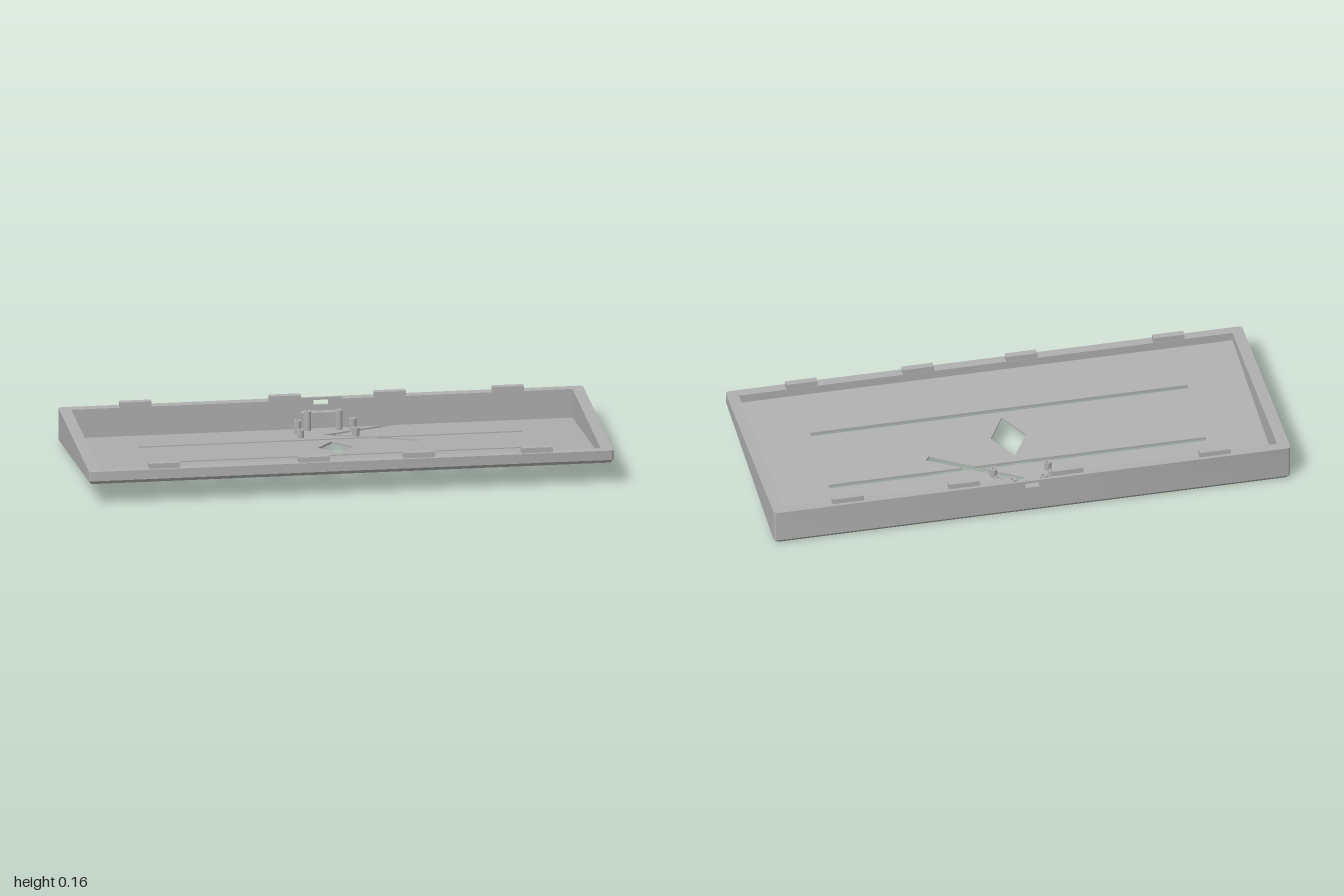
import * as THREE from 'three';
import { toCreasedNormals } from 'three/addons/utils/BufferGeometryUtils.js';

const TOP = 0.137, SKIN = 0.012, FLOOR = 0.02;
const under = (z) => 0.105 * (z + 0.42); // sloping underside

export function createModel() {
  const model = new THREE.Group();
  const grey = new THREE.MeshStandardMaterial({ color: 0xb0b0b0 });
  grey.name = 'grey plastic';

  const add = (name, geo, x = 0, y = 0, z = 0) => {
    const mesh = new THREE.Mesh(geo, grey);
    mesh.name = name;
    mesh.position.set(x, y, z);
    model.add(mesh);
    return mesh;
  };

  // Outlines are given as (x, z) in plan
  const trace = (path, pts) => {
    pts.forEach(([x, z], i) => (i ? path.lineTo(x, -z) : path.moveTo(x, -z)));
    path.closePath();
    return path;
  };
  const rect = (path, w, d, r) => {
    path.moveTo(-w + r, -d);
    path.lineTo(w - r, -d); path.quadraticCurveTo(w, -d, w, -d + r);
    path.lineTo(w, d - r); path.quadraticCurveTo(w, d, w - r, d);
    path.lineTo(-w + r, d); path.quadraticCurveTo(-w, d, -w, d - r);
    path.lineTo(-w, -d + r); path.quadraticCurveTo(-w, -d, -w + r, -d);
    return path;
  };

  // Plan outline raised between two height rules, with optional lower chamfer
  const slab = (shape, low, high, chamfer = 0) => {
    const geo = new THREE.ExtrudeGeometry(shape, { depth: 1, bevelEnabled: false, curveSegments: 6 });
    geo.rotateX(-Math.PI / 2);
    const p = geo.attributes.position;
    for (let i = 0; i < p.count; i++) {
      let x = p.getX(i), z = p.getZ(i);
      const upper = p.getY(i) > 0.5;
      if (!upper && chamfer) {
        if (Math.abs(x) > 0.98) x -= Math.sign(x) * chamfer;
        if (Math.abs(z) > 0.403) z -= Math.sign(z) * chamfer;
      }
      p.setXYZ(i, x, upper ? high(z) : low(z), z);
    }
    return toCreasedNormals(geo, 0.5);
  };

  // Bottom skin: recessed panel with cable channel, and four foot sockets
  const skin = rect(new THREE.Shape(), 1, 0.42, 0.015);
  const w = 0.79, d = 0.27, r = 0.04;
  const recess = new THREE.Path();
  recess.moveTo(-w + r, -d);
  recess.lineTo(w - r, -d); recess.quadraticCurveTo(w, -d, w, -d + r);
  recess.lineTo(w, d - r); recess.quadraticCurveTo(w, d, w - r, d);
  recess.lineTo(0.073, d); recess.lineTo(0.322, 0.4);
  recess.lineTo(0.263, 0.4); recess.lineTo(0.026, d);
  recess.lineTo(-w + r, d); recess.quadraticCurveTo(-w, d, -w, d - r);
  recess.lineTo(-w, -d + r); recess.quadraticCurveTo(-w, -d, -w + r, -d);
  skin.holes.push(recess);
  for (const x of [-0.88, 0.88]) {
    for (const z of [-0.31, 0.31]) {
      skin.holes.push(new THREE.Path().absarc(x, -z, 0.032, 0, Math.PI * 2));
    }
  }
  add('bottomSkin', slab(skin, under, (z) => under(z) + SKIN, 0.008));

  // Floor plate: long slots, diamond window and forked cable slot
  const plate = rect(new THREE.Shape(), 0.958, 0.385, 0.002);
  plate.holes.push(
    trace(new THREE.Path(), [[-0.73, 0.14], [0.73, 0.14], [0.73, 0.16], [-0.73, 0.16]]),
    trace(new THREE.Path(), [[0, -0.118], [0.068, -0.005], [0, 0.11], [-0.068, -0.005]]),
    trace(new THREE.Path(), [
      [-0.73, -0.15], [-0.73, -0.17], [0.129, -0.17], [-0.01, -0.25], [0.226, -0.38],
      [0.281, -0.38], [0.035, -0.25], [0.176, -0.17], [0.73, -0.17], [0.73, -0.15],
      [0.211, -0.15], [0.335, -0.08], [0.32, -0.06], [0.164, -0.15],
    ]));
  add('floorPlate', slab(plate, (z) => under(z) + SKIN, (z) => under(z) + FLOOR));

  // Perimeter wall, open at the rear for the connector bay
  const wall = new THREE.Shape();
  const c = 0.015, ix = 0.955, iz = 0.382, bay = 0.08;
  wall.moveTo(bay, 0.42);
  wall.lineTo(1 - c, 0.42); wall.quadraticCurveTo(1, 0.42, 1, 0.42 - c);
  wall.lineTo(1, -0.42 + c); wall.quadraticCurveTo(1, -0.42, 1 - c, -0.42);
  wall.lineTo(-1 + c, -0.42); wall.quadraticCurveTo(-1, -0.42, -1, -0.42 + c);
  wall.lineTo(-1, 0.42 - c); wall.quadraticCurveTo(-1, 0.42, -1 + c, 0.42);
  wall.lineTo(-bay, 0.42); wall.lineTo(-bay, iz);
  wall.lineTo(-ix, iz); wall.lineTo(-ix, -iz);
  wall.lineTo(ix, -iz); wall.lineTo(ix, iz); wall.lineTo(bay, iz);
  wall.closePath();
  add('perimeterWall', slab(wall, (z) => under(z) + SKIN, () => TOP));

  // Connector bay: sill below and a thin outer plate with a port
  const sill = trace(new THREE.Shape(), [[-bay, -0.42], [-bay, -iz], [bay, -iz], [bay, -0.42]]);
  add('connectorSill', slab(sill, (z) => under(z) + SKIN, () => 0.085));
  const port = new THREE.Shape();
  port.moveTo(-bay, 0.085); port.lineTo(bay, 0.085); port.lineTo(bay, TOP); port.lineTo(-bay, TOP);
  port.closePath();
  const opening = new THREE.Path();
  opening.moveTo(-0.028, 0.108); opening.lineTo(-0.028, 0.127);
  opening.lineTo(0.028, 0.127); opening.lineTo(0.028, 0.108);
  opening.closePath();
  port.holes.push(opening);
  add('connectorPlate', new THREE.ExtrudeGeometry(port, { depth: 0.01, bevelEnabled: false }), 0, 0, -0.42);

  // Locating tabs along the front and rear rims
  const tab = new THREE.BoxGeometry(0.12, 0.024, 0.026);
  for (const x of [-0.71, -0.14, 0.26, 0.71]) {
    for (const z of [-0.394, 0.396]) add('rimTab', tab, x, TOP + 0.008, z);
  }

  // Hollow screw posts
  for (const [px, pz, top] of [[0.06, -0.345, 0.105], [0.105, -0.295, 0.085], [0.105, -0.215, 0.073]]) {
    const base = under(pz) + SKIN, h = top - base;
    const profile = [[0.014, 0], [0.014, h], [0.006, h], [0.006, 0.012], [0, 0.012]]
      .map(([a, b]) => new THREE.Vector2(a, b));
    const post = toCreasedNormals(new THREE.LatheGeometry(profile, 20), 0.5);
    for (const s of [-1, 1]) add('screwPost', post, s * px, base, pz);
  }

  return model;
}
